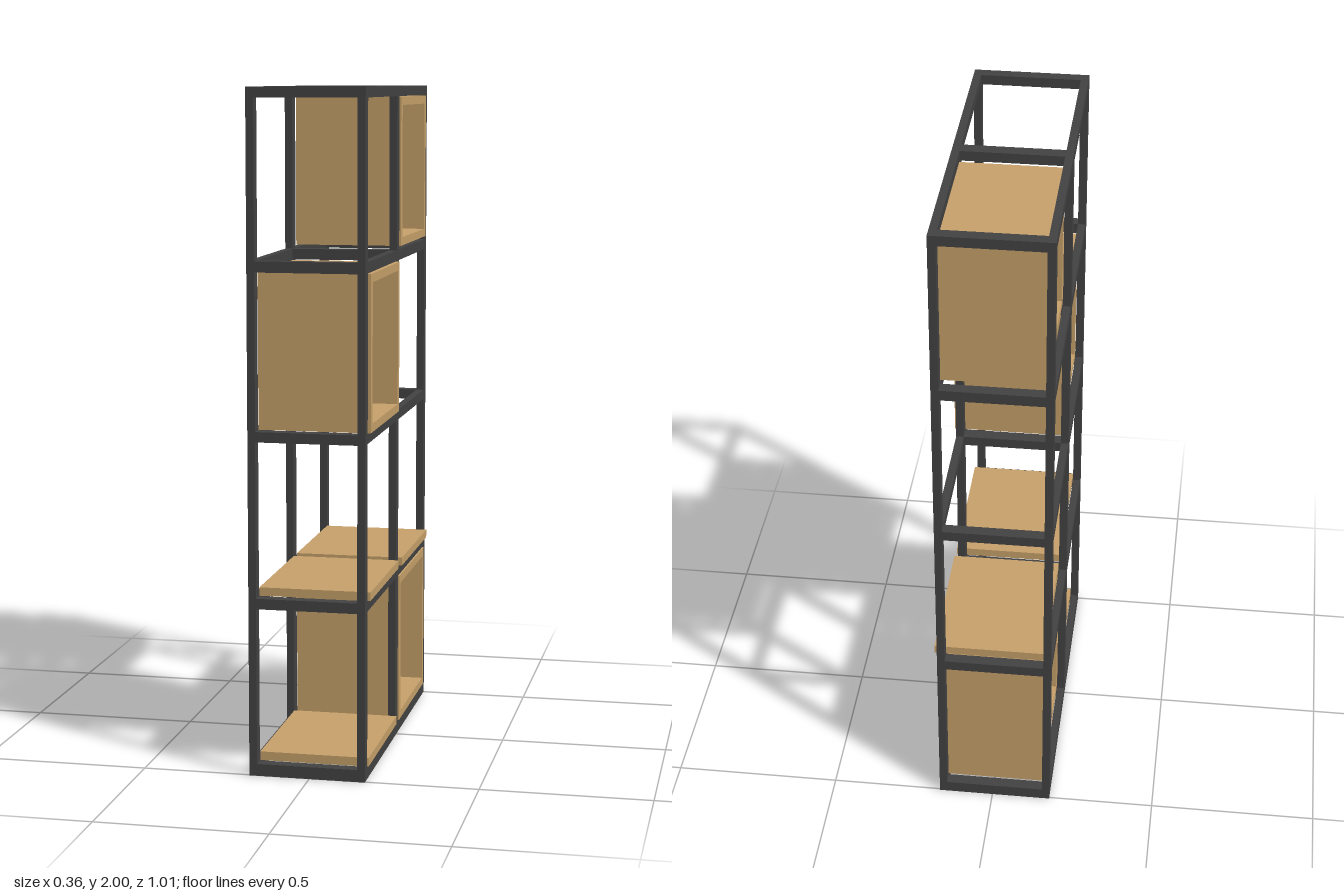
import * as THREE from 'three';

export function createModel() {
  const model = new THREE.Group();
  const metal = new THREE.MeshStandardMaterial({ color: 0x434343 });
  const wood = new THREE.MeshStandardMaterial({ color: 0xc8a26b });

  // box given by its extents on each axis
  function bar(parent, name, material, [x0, x1], [y0, y1], [z0, z1]) {
    const mesh = new THREE.Mesh(new THREE.BoxGeometry(x1 - x0, y1 - y0, z1 - z0), material);
    mesh.position.set((x0 + x1) / 2, (y0 + y1) / 2, (z0 + z1) / 2);
    mesh.name = name;
    parent.add(mesh);
  }

  // metal frame: two faces of posts and rails, joined by cross rails
  const frame = new THREE.Group();
  frame.name = 'frame';
  model.add(frame);
  const faces = [[-0.179, -0.156], [0.143, 0.166]];
  const columns = [[-0.505, -0.469], [-0.02, 0.02], [0.469, 0.505]];
  const levels = [[0, 0.036], [0.5, 0.531], [0.99, 1.02], [1.478, 1.51], [1.97, 2]];

  for (const x of faces) {
    for (const z of columns) bar(frame, 'post', metal, x, [0, 2], z);
    for (const y of levels) {
      bar(frame, 'longRail', metal, x, y, [-0.469, -0.02]);
      bar(frame, 'longRail', metal, x, y, [0.02, 0.469]);
    }
  }
  for (const y of levels)
    for (const z of columns) bar(frame, 'crossRail', metal, [-0.156, 0.143], y, z);

  // open wooden cubby: four boards, open on both x sides
  const t = 0.025;
  function cubby(name, x, [y0, y1], [z0, z1]) {
    const group = new THREE.Group();
    group.name = name;
    bar(group, 'bottomBoard', wood, x, [y0, y0 + t], [z0, z1]);
    bar(group, 'topBoard', wood, x, [y1 - t, y1], [z0, z1]);
    bar(group, 'sideBoard', wood, x, [y0 + t, y1 - t], [z0, z0 + t]);
    bar(group, 'sideBoard', wood, x, [y0 + t, y1 - t], [z1 - t, z1]);
    model.add(group);
  }
  cubby('upperCubby', [-0.155, 0.17], [1.52, 1.968], [-0.465, -0.025]);
  cubby('middleCubby', [-0.155, 0.175], [1.021, 1.476], [0.021, 0.468]);
  cubby('lowerCubby', [-0.155, 0.17], [0.038, 0.498], [-0.467, -0.021]);

  // loose shelf boards
  bar(model, 'bottomShelf', wood, [-0.155, 0.17], [0.037, 0.063], [0.021, 0.468]);
  bar(model, 'frontShelf', wood, [-0.155, 0.175], [0.532, 0.557], [0.021, 0.468]);
  bar(model, 'backShelf', wood, [-0.155, 0.178], [0.532, 0.557], [-0.468, -0.021]);

  return model;
}
